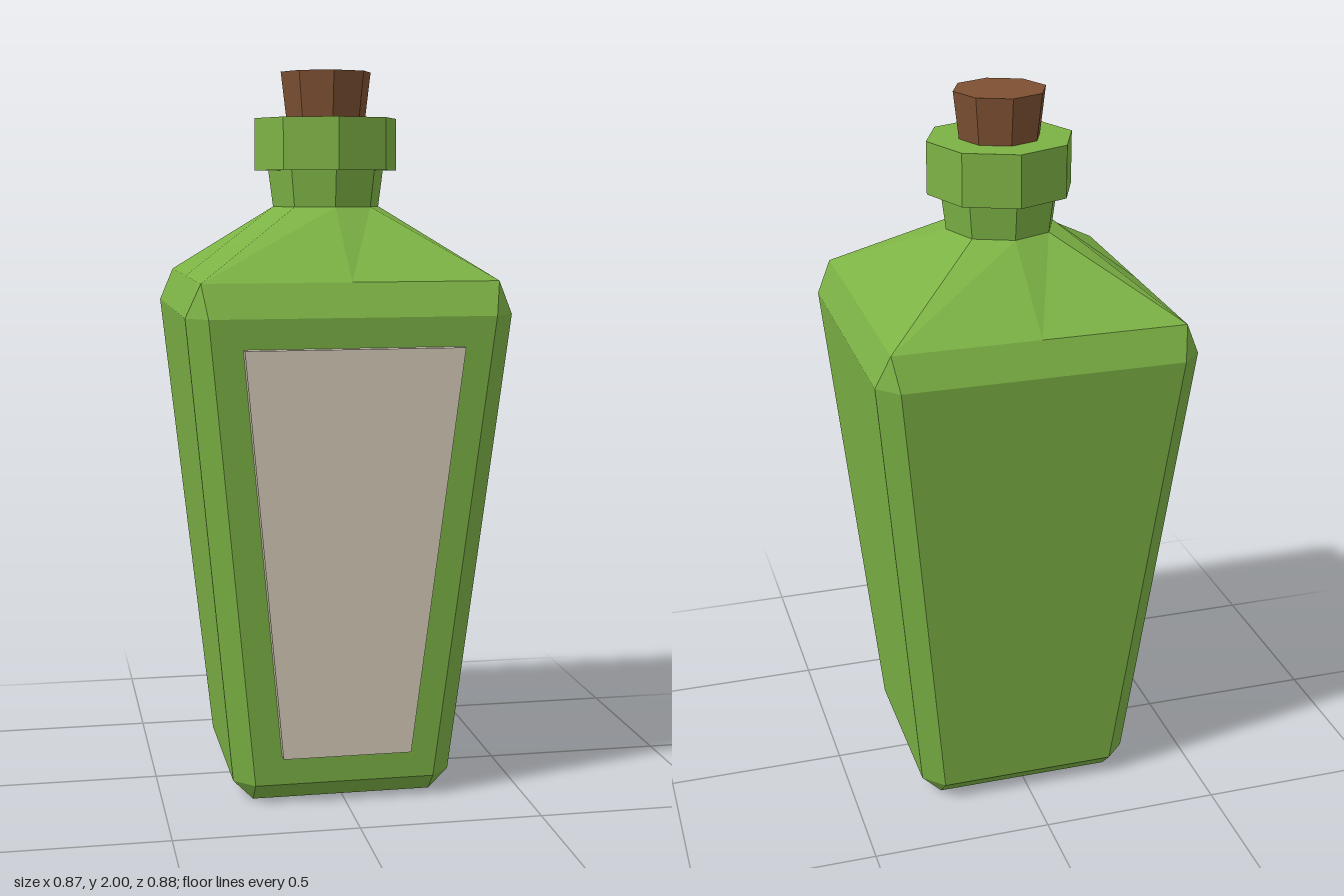
import * as THREE from 'three';

const paint = (name, color) => {
  const m = new THREE.MeshStandardMaterial({ color, flatShading: true });
  m.name = name;
  return m;
};

// Twelve-point ring: a rectangle with chamfered corners plus edge midpoints
function boxRing(y, hx, hz, c) {
  return [
    [hx, y, 0], [hx, y, hz - c], [hx - c, y, hz],
    [0, y, hz], [c - hx, y, hz], [-hx, y, hz - c],
    [-hx, y, 0], [-hx, y, c - hz], [c - hx, y, -hz],
    [0, y, -hz], [hx - c, y, -hz], [hx, y, c - hz],
  ];
}

// Octagon with doubled diagonal points, so it joins the chamfered rings
function neckRing(y, r, depth) {
  return [0, 1, 1, 2, 3, 3, 4, 5, 5, 6, 7, 7].map((k) => {
    const a = (k * Math.PI) / 4;
    return [r * Math.cos(a), y, r * Math.sin(a) * depth];
  });
}

// Skin the rings from bottom to top and close the base
function loft(rings) {
  const pos = [];
  const same = (p, q) => p.every((v, i) => Math.abs(v - q[i]) < 1e-6);
  const tri = (a, b, c) => {
    if (!same(a, b) && !same(b, c) && !same(a, c)) pos.push(...a, ...b, ...c);
  };
  const n = rings[0].length;
  for (let j = 0; j < n; j++) {
    const k = (j + 1) % n;
    tri([0, rings[0][0][1], 0], rings[0][j], rings[0][k]);
    for (let i = 0; i < rings.length - 1; i++) {
      const a = rings[i][j], b = rings[i][k], d = rings[i + 1][j], c = rings[i + 1][k];
      tri(a, d, b);
      tri(b, d, c);
    }
  }
  const g = new THREE.BufferGeometry();
  g.setAttribute('position', new THREE.Float32BufferAttribute(pos, 3));
  g.computeVertexNormals();
  return g;
}

export function createModel() {
  const glass = paint('green glass', 0x7cb245);
  const cork = paint('brown cork', 0x7d5032);
  const paper = paint('beige paper', 0xd7cdbb);

  const model = new THREE.Group();
  model.name = 'bottle';
  const vessel = new THREE.Group();
  vessel.name = 'vessel';
  vessel.position.z = -0.013;
  model.add(vessel);

  const add = (parent, name, geometry, material) => {
    const mesh = new THREE.Mesh(geometry, material);
    mesh.name = name;
    parent.add(mesh);
    return mesh;
  };

  // Tapered body with chamfered edges and sloping shoulders
  const depth = 0.98;
  add(vessel, 'body', loft([
    boxRing(0, 0.25, 0.243, 0),
    boxRing(0.055, 0.305, 0.298, 0.055),
    boxRing(1.35, 0.437, 0.427, 0.055),
    boxRing(1.44, 0.397, 0.388, 0),
    neckRing(1.63, 0.15, depth),
  ]), glass);

  // Eight-sided neck, collar and stopper: name, bottom y, top y, radii
  const rounds = [
    ['neck', 1.63, 1.73, 0.15, 0.163, glass],
    ['collar', 1.73, 1.873, 0.201, 0.201, glass],
    ['stopper', 1.85, 2, 0.109, 0.127, cork],
  ];
  for (const [name, y0, y1, r0, r1, mat] of rounds) {
    const mesh = add(vessel, name, new THREE.CylinderGeometry(r1, r0, y1 - y0, 8), mat);
    mesh.position.y = (y0 + y1) / 2;
    mesh.scale.z = depth;
  }

  // Label: a box tapered and leaned to follow the front face
  const label = new THREE.BoxGeometry(1, 1, 1);
  const p = label.attributes.position;
  for (let i = 0; i < p.count; i++) {
    const top = p.getY(i) > 0, front = p.getZ(i) > 0;
    const z = (top ? 0.437 : 0.325) - (front ? 0 : 0.035);
    p.setXYZ(i, Math.sign(p.getX(i)) * (top ? 0.292 : 0.178), top ? 1.27 : 0.14, z);
  }
  label.computeVertexNormals();
  add(model, 'label', label, paper);

  return model;
}
